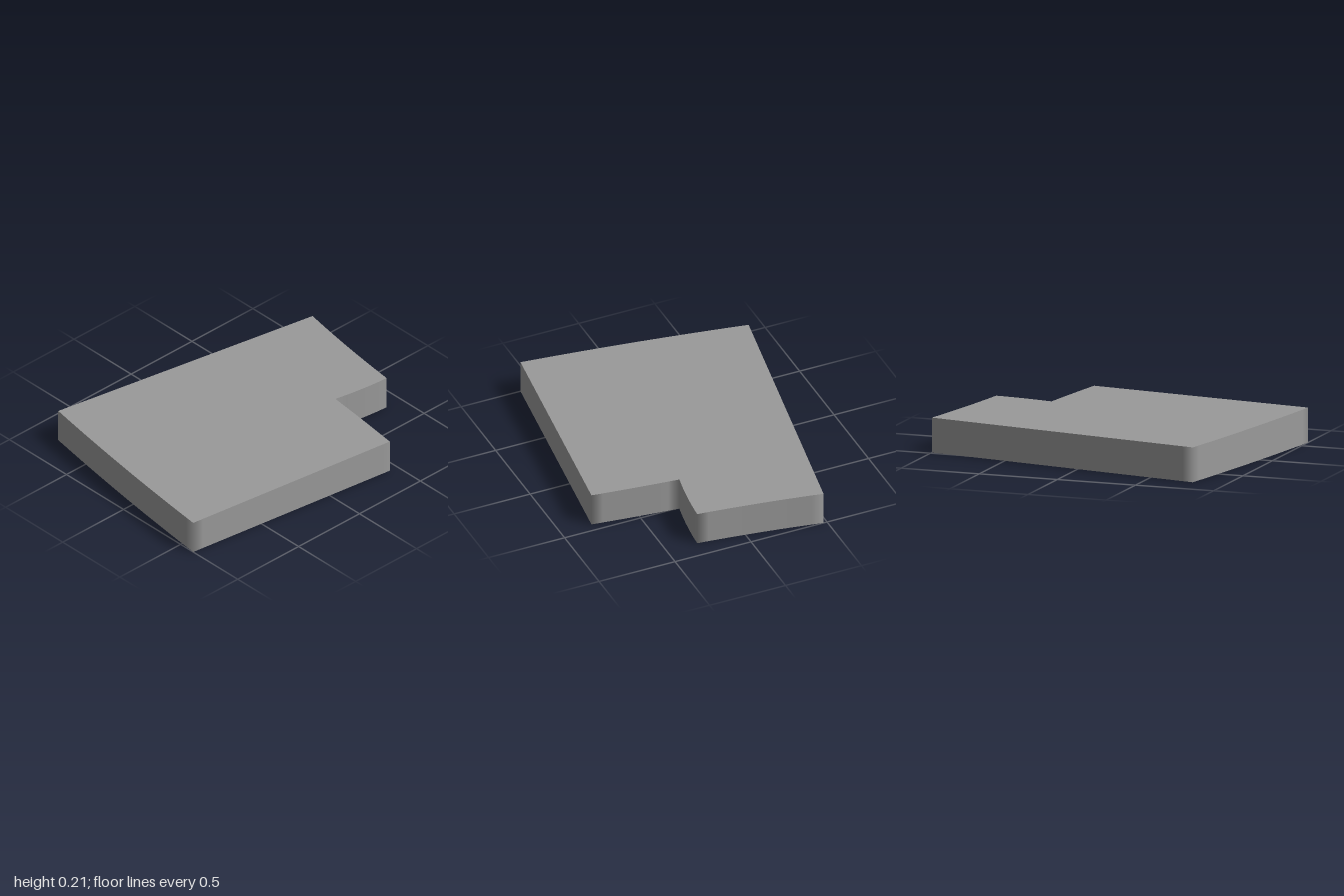
import * as THREE from 'three';

// Rounds the shading over the wall corners while the flat faces stay flat
function smoothWalls(geometry) {
  const { position, normal } = geometry.attributes;
  const sums = new Map();
  const walls = [];
  for (let i = 0; i < position.count; i++) {
    if (Math.abs(normal.getY(i)) > 0.5) continue;
    const key = `${position.getX(i).toFixed(4)},${position.getZ(i).toFixed(4)}`;
    if (!sums.has(key)) sums.set(key, new THREE.Vector3());
    sums.get(key).add(new THREE.Vector3().fromBufferAttribute(normal, i));
    walls.push([i, key]);
  }
  sums.forEach((sum) => sum.normalize());
  for (const [i, key] of walls) normal.setXYZ(i, ...sums.get(key));
}

export function createModel() {
  const group = new THREE.Group();
  group.name = 'notchedSlab';

  // Outline seen from above, as x and -z, with gently bowed edges
  const outline = new THREE.Shape();
  outline.moveTo(-0.796, -0.79);
  outline.quadraticCurveTo(-0.09, -0.92, 0.61, -1); // front edge
  outline.lineTo(0.796, 0.44); // left side
  outline.quadraticCurveTo(0.51, 0.48, 0.248, 0.507); // notch ledge
  outline.quadraticCurveTo(0.288, 0.69, 0.3, 0.88); // notch wall
  outline.quadraticCurveTo(-0.1, 0.926, -0.477, 1); // back edge
  outline.closePath();

  // Even steps along every edge keep the soft shading close to the corners
  const points = outline.curves.flatMap((edge) =>
    edge.getSpacedPoints(Math.round(edge.getLength() / 0.07)).slice(0, -1)
  );

  // Flat plate standing on the ground
  const plate = new THREE.ExtrudeGeometry(new THREE.Shape(points), { depth: 0.213, bevelEnabled: false });
  plate.rotateX(-Math.PI / 2);
  smoothWalls(plate);
  const slab = new THREE.Mesh(plate, new THREE.MeshStandardMaterial({ color: 0x9a9a9a }));
  slab.name = 'slab';
  group.add(slab);
  return group;
}
